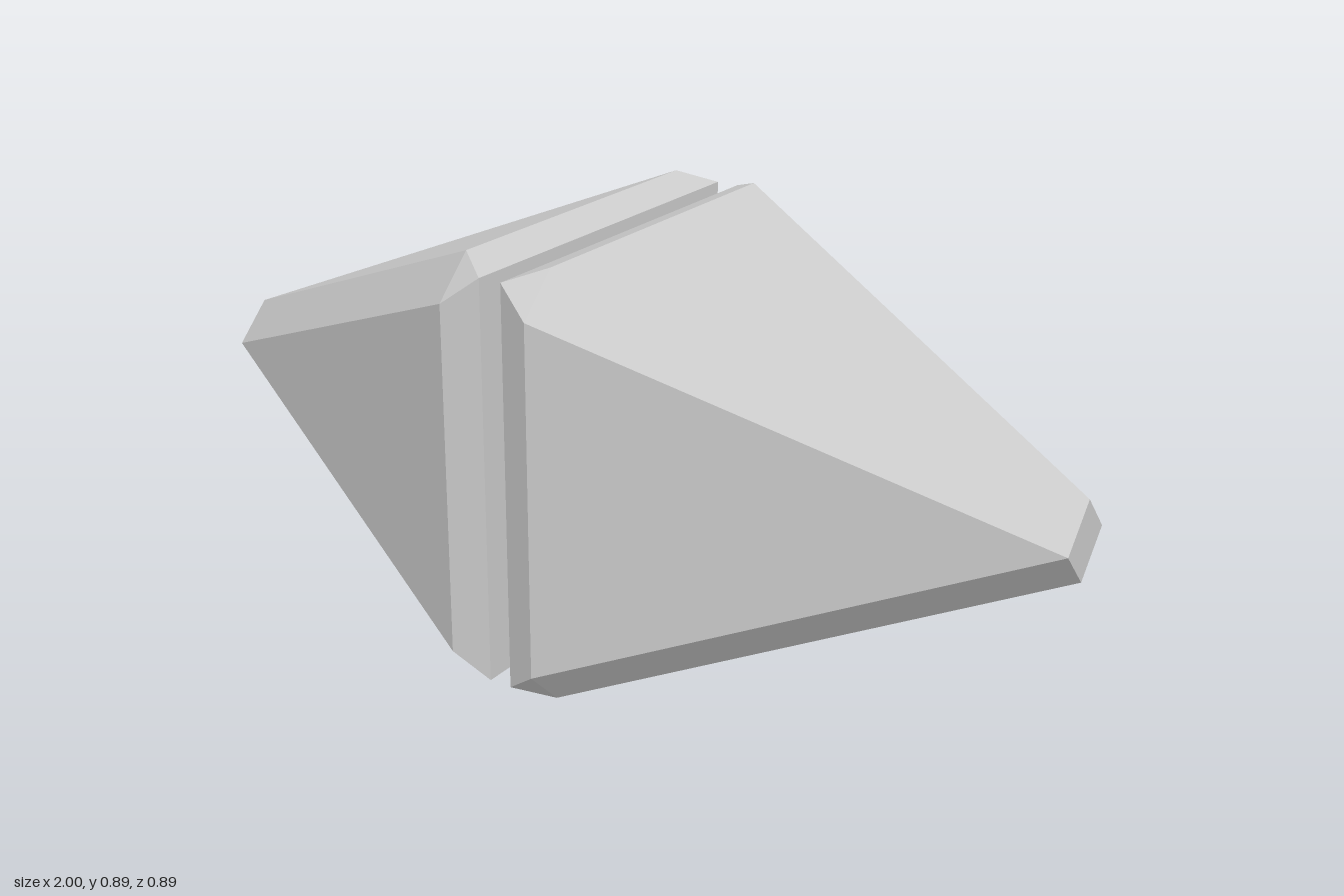
import * as THREE from 'three';
import { ConvexGeometry } from 'three/addons/geometries/ConvexGeometry.js';

const MID_Y = 0.443; // height of the shared axis
const OUTER = 0.443, FLAT = 0.361; // widest ring: half extent and half length of its straight edges
const BASE = 0.416; // half side of the square base
const TIP = 0.082; // half diagonal of the cut-off tip

// Bevelled square pyramid lying along x, pointing to the given side
function pyramid(name, side, baseX, ringX, material) {
  const points = [];
  const add = (x, y, z) => points.push(new THREE.Vector3(side * x, y, z));
  for (const a of [-1, 1]) {
    for (const b of [-1, 1]) {
      add(baseX, a * BASE, b * BASE);
      add(ringX, a * OUTER, b * FLAT);
      add(ringX, a * FLAT, b * OUTER);
    }
    add(1, a * TIP, 0);
    add(1, 0, a * TIP);
  }
  const mesh = new THREE.Mesh(new ConvexGeometry(points), material);
  mesh.name = name;
  mesh.position.y = MID_Y;
  return mesh;
}

export function createModel() {
  const group = new THREE.Group();
  group.name = 'facingPyramids';
  const material = new THREE.MeshStandardMaterial({ color: 0xcccccc, flatShading: true });

  // Two pyramids base to base with a narrow gap between them
  group.add(pyramid('leftPyramid', 1, 0.022, 0.094, material));
  group.add(pyramid('rightPyramid', -1, 0.027, 0.099, material));
  return group;
}
